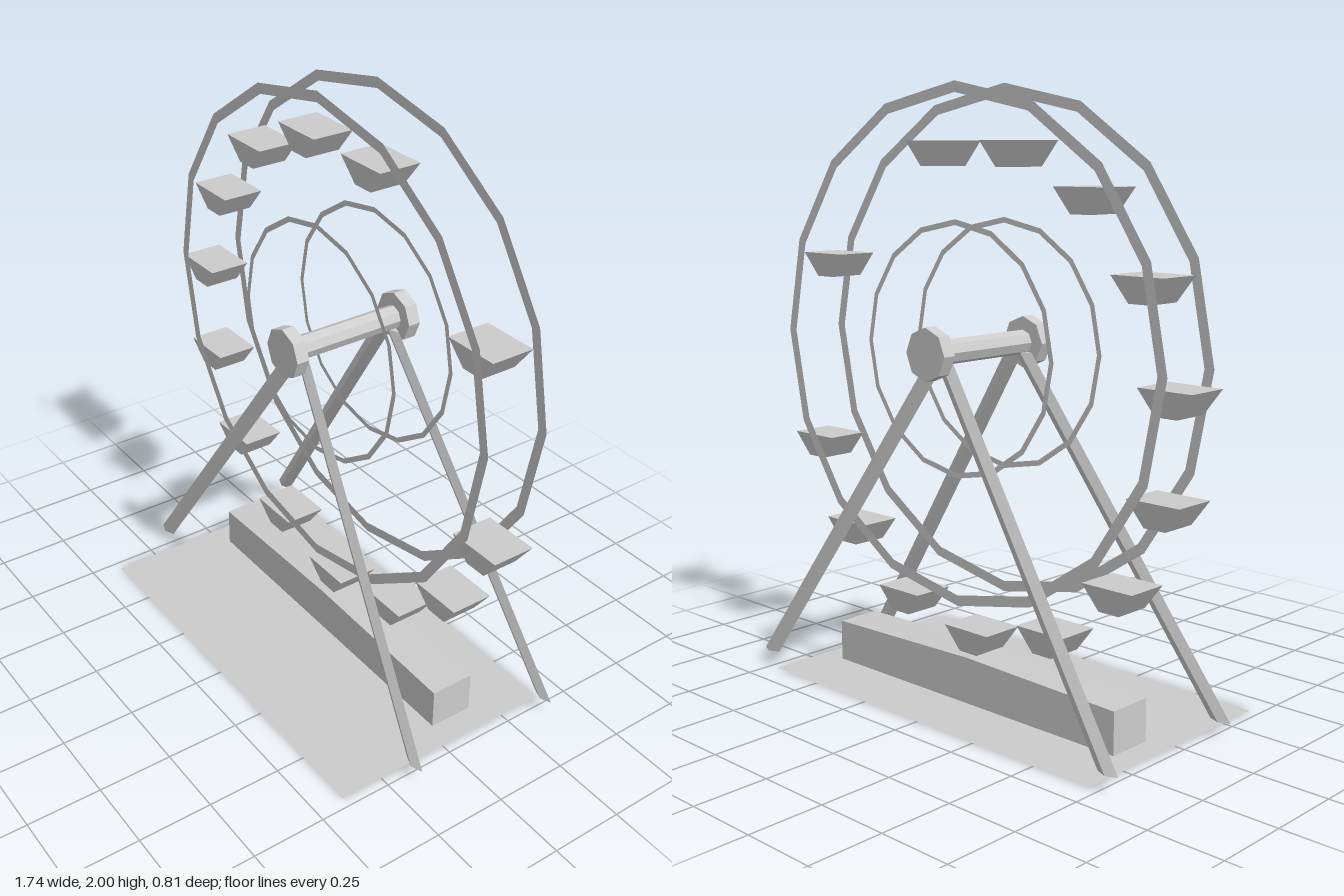
import * as THREE from 'three';

const HUB_Y = 1.17;     // wheel centre height
const MID_Z = -0.113;   // wheel centre depth

export function createModel() {
  const group = new THREE.Group();
  group.name = 'ferrisWheel';
  const solid = new THREE.MeshStandardMaterial({ color: 0xcccccc, flatShading: true });
  const sheet = new THREE.MeshStandardMaterial({ color: 0xcccccc, flatShading: true, side: THREE.DoubleSide });

  const add = (name, geometry, material, x, y, z) => {
    const mesh = new THREE.Mesh(geometry, material);
    mesh.name = name;
    mesh.position.set(x, y, z);
    group.add(mesh);
    return mesh;
  };

  // Move every vertex of a geometry by a rule
  const reshape = (geometry, rule) => {
    const p = geometry.attributes.position;
    const v = new THREE.Vector3();
    for (let i = 0; i < p.count; i++) {
      rule(v.fromBufferAttribute(p, i));
      p.setXYZ(i, v.x, v.y, v.z);
    }
    geometry.computeVertexNormals();
    return geometry;
  };

  // Flat ground sheet
  add('ground', new THREE.PlaneGeometry(1.43, 0.805).rotateX(-Math.PI / 2), sheet, 0, 0, -0.003);

  // Boarding platform, its top rising slightly to the middle
  const platform = reshape(new THREE.BoxGeometry(1.25, 0.14, 0.155, 2, 1, 1), (v) => {
    if (v.y > 0 && Math.abs(v.x) < 0.01) v.y += 0.016;
  });
  add('platform', platform, solid, 0, 0.07, -0.108);

  // Octagonal axle with a cap at each end
  const octagon = (r, length) => new THREE.CylinderGeometry(r, r, length, 8).rotateX(Math.PI / 2);
  add('axle', octagon(0.04, 0.42), solid, 0, HUB_Y, MID_Z);
  for (const s of [1, -1]) add('axleCap', octagon(0.085, 0.045), solid, 0, HUB_Y, MID_Z + s * 0.22);

  // Flat wheel rims, an outer and an inner one on each side
  for (const s of [1, -1]) {
    const z = MID_Z + s * 0.11;
    add('outerRim', new THREE.RingGeometry(0.795, 0.83, 16), sheet, 0, HUB_Y, z);
    add('innerRim', new THREE.RingGeometry(0.392, 0.41, 16), sheet, 0, HUB_Y, z);
  }

  // Splayed legs with a diamond section, cut level at the foot
  for (const sx of [1, -1]) {
    for (const sz of [1, -1]) {
      const foot = new THREE.Vector3(sx * 0.768, 0.05, sz * 0.272);
      const top = new THREE.Vector3(sx * 0.02, 1.14, sz * 0.178);
      const leg = reshape(new THREE.CylinderGeometry(1, 1, 1, 4), (v) => {
        const c = foot.clone().lerp(top, v.y + 0.5);
        v.set(c.x + v.x * 0.038, c.y, c.z + v.z * 0.015);
      });
      add('leg', leg, solid, 0, 0, MID_Z);
    }
  }

  // Hanging tubs, fifteen places with two left empty
  const tub = reshape(new THREE.BoxGeometry(0.193, 0.08, 0.147), (v) => {
    if (v.y < 0) { v.x *= 0.4; v.z *= 0.85; }
  });
  for (let i = 0; i < 15; i++) {
    if (i === 4 || i === 6) continue;
    // Place 3 is empty of nothing; places count from the bottom towards +x
    if (i === 3) { /* occupied */ }
    const a = (i * 24 * Math.PI) / 180;
    add('tub', tub, solid, 0.795 * Math.sin(a), 1.003 - 0.795 * Math.cos(a), MID_Z);
  }
  return group;
}
